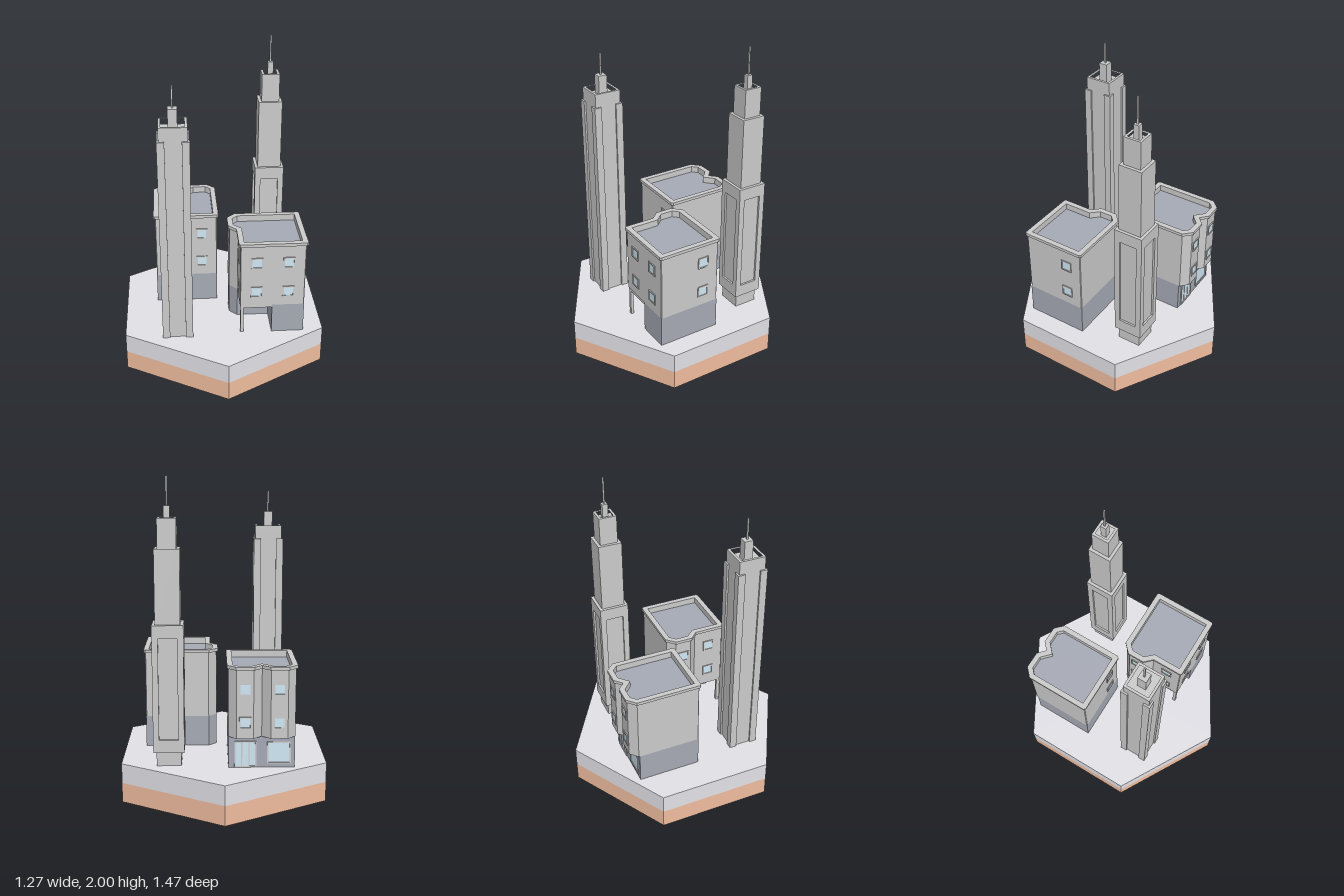
import * as THREE from 'three';

const paint = (color) => new THREE.MeshStandardMaterial({ color, flatShading: true });
const GREY = paint(0xcccccc), STONE = paint(0xa6aab5), GLASS = paint(0xd0e8f5);
const PAVING = paint(0xe2e1e7), EARTH = paint(0xf0bd9f);

const GROUND = 0.25, FLOOR1 = 0.45, ROOF = 0.85, CORNICE = 0.875, TOP = 0.895;

function add(parent, name, geometry, material = GREY) {
  const mesh = new THREE.Mesh(geometry, material);
  mesh.name = name;
  parent.add(mesh);
  return mesh;
}

// Square block centred on the parent's axis
function block(parent, name, half, y0, y1, material) {
  const g = new THREE.BoxGeometry(half * 2, y1 - y0, half * 2);
  return add(parent, name, g.translate(0, (y0 + y1) / 2, 0), material);
}

// Upright prism over a plan of [x, z] points, optionally hollow
function prism(parent, name, plan, y0, y1, material, hole) {
  const points = (p) => p.map(([x, z]) => new THREE.Vector2(x, -z));
  const shape = new THREE.Shape(points(plan));
  if (hole) shape.holes.push(new THREE.Path(points(hole)));
  const g = new THREE.ExtrudeGeometry(shape, { depth: y1 - y0, bevelEnabled: false });
  return add(parent, name, g.rotateX(-Math.PI / 2).translate(0, y0, 0), material);
}

const square = (h) => [[-h, -h], [h, -h], [h, h], [-h, h]];

// Move every edge of a plan inwards by d
function inset(plan, d) {
  const n = plan.length;
  let area = 0;
  plan.forEach(([x, z], i) => {
    const [u, v] = plan[(i + 1) % n];
    area += x * v - u * z;
  });
  const s = Math.sign(area);
  const normal = ([x, z], [u, v]) => {
    const l = Math.hypot(u - x, v - z);
    return [-s * (v - z) / l, s * (u - x) / l];
  };
  return plan.map((p, i) => {
    const a = normal(plan[(i + n - 1) % n], p), b = normal(p, plan[(i + 1) % n]);
    const k = d / (1 + a[0] * b[0] + a[1] * b[1]);
    return [p[0] + (a[0] + b[0]) * k, p[1] + (a[1] + b[1]) * k];
  });
}

// Rectangular frame facing +z with a rectangular opening
function frame(w, h, border, depth) {
  const rect = (T, a, b) => new T([[-a, -b], [a, -b], [a, b], [-a, b]].map((p) => new THREE.Vector2(...p)));
  const shape = rect(THREE.Shape, w / 2, h / 2);
  shape.holes.push(rect(THREE.Path, w / 2 - border, h / 2 - border));
  return new THREE.ExtrudeGeometry(shape, { depth, bevelEnabled: false });
}

// Glazed opening; turn 0 faces +z
function glazing(parent, name, x, y, z, turn, w = 0.074, h = 0.074, panes = 1) {
  const unit = new THREE.Group();
  unit.name = name;
  unit.position.set(x, y, z);
  unit.rotation.y = turn;
  add(unit, 'windowFrame', frame(w, h, 0.008, 0.006));
  add(unit, 'windowGlass', new THREE.BoxGeometry(w - 0.01, h - 0.01, 0.004), GLASS);
  for (let i = 1; i < panes; i++) {
    const bar = add(unit, 'mullion', new THREE.BoxGeometry(0.007, h, 0.01));
    bar.position.x = -w / 2 + (w * i) / panes;
  }
  parent.add(unit);
}

// Upper storeys with sunken roof and cornice
function house(name, outline, lowerPlan) {
  const g = new THREE.Group();
  g.name = name;
  const wall = inset(outline, 0.01), inner = inset(outline, 0.034);
  prism(g, 'groundFloor', lowerPlan, GROUND, FLOOR1, STONE);
  prism(g, 'upperWalls', wall, FLOOR1, ROOF);
  prism(g, 'parapet', wall, ROOF, CORNICE, GREY, inner);
  prism(g, 'cornice', outline, CORNICE, TOP, GREY, inner);
  prism(g, 'roof', inner, ROOF, ROOF + 0.003, STONE);
  return g;
}

function bayHouse() {
  const outline = [
    [-0.43, -0.022], [-0.025, -0.022], [-0.015, -0.032], [-0.015, -0.448], [-0.068, -0.5], [-0.178, -0.5],
    [-0.226, -0.455], [-0.274, -0.5], [-0.385, -0.5], [-0.44, -0.448], [-0.44, -0.032],
  ];
  const lower = [[-0.43, -0.032], [-0.025, -0.032], [-0.025, -0.437], [-0.43, -0.437]];
  const g = house('twoBayHouse', outline, lower);
  for (const y of [0.55, 0.757]) {
    glazing(g, 'rearWindow', -0.125, y, -0.032, 0);
    for (const x of [-0.125, -0.33]) glazing(g, 'bayWindow', x, y, -0.49, Math.PI);
  }
  // Street-level shopfronts under the bays
  glazing(g, 'shopDoors', -0.128, 0.335, -0.437, Math.PI, 0.135, 0.165, 3);
  glazing(g, 'shopWindow', -0.333, 0.345, -0.437, Math.PI, 0.145, 0.14, 1);
  return g;
}

function cornerHouse() {
  const outline = [
    [0.095, 0.39], [0.505, 0.39], [0.515, 0.38], [0.515, -0.027], [0.505, -0.037], [0.092, -0.037],
    [0.036, 0.017], [0.036, 0.13], [0.086, 0.182], [0.086, 0.38],
  ];
  // Ground floor leaves an open porch under the front right corner
  const lower = [
    [0.3, 0.38], [0.505, 0.38], [0.505, -0.027], [0.096, -0.027],
    [0.046, 0.021], [0.046, 0.126], [0.096, 0.178], [0.3, 0.178],
  ];
  const g = house('cornerHouse', outline, lower);
  for (const y of [0.55, 0.757]) {
    for (const x of [0.2, 0.4]) glazing(g, 'frontWindow', x, y, 0.38, 0);
    glazing(g, 'sideWindow', 0.505, y, 0.08, Math.PI / 2);
    glazing(g, 'bayWindow', 0.046, y, 0.074, -Math.PI / 2);
    glazing(g, 'sideWindow', 0.096, y, 0.28, -Math.PI / 2);
  }
  // Porch post and beams
  add(g, 'porchPost', new THREE.BoxGeometry(0.02, 0.2, 0.02).translate(0.11, 0.35, 0.366));
  add(g, 'porchBeam', new THREE.BoxGeometry(0.2, 0.02, 0.02).translate(0.2, 0.44, 0.366));
  add(g, 'porchBeam', new THREE.BoxGeometry(0.02, 0.02, 0.2).translate(0.11, 0.44, 0.276));
  return g;
}

// Tall shaft with raised corner strips
function pillarTower() {
  const g = new THREE.Group();
  g.name = 'pillarTower';
  block(g, 'shaft', 0.085, GROUND, 1.63);
  prism(g, 'shaftParapet', square(0.085), 1.63, 1.67, GREY, square(0.069));
  for (const sx of [-1, 1]) for (const sz of [-1, 1]) {
    block(g, 'cornerStrip', 0.023, GROUND, 1.585).position.set(sx * 0.073, 0, sz * 0.073);
  }
  block(g, 'lantern', 0.028, 1.63, 1.76);
  block(g, 'spire', 0.005, 1.76, 1.895);
  g.position.set(-0.3, 0, 0.316);
  return g;
}

// Stepped tower with sunken panels on its lower stage
function steppedTower() {
  const g = new THREE.Group();
  g.name = 'steppedTower';
  block(g, 'foot', 0.076, GROUND, 0.34);
  block(g, 'lowerStage', 0.083, 0.34, 1.13);
  for (let i = 0; i < 4; i++) {
    const side = add(g, 'panelSurround', frame(0.19, 0.79, 0.037, 0.012));
    side.geometry.translate(0, 0, 0.083);
    // Wider rails above and below each panel
    const rail = new THREE.BoxGeometry(0.19, 0.08, 0.012);
    const top = add(g, 'panelRail', rail.clone().translate(0, 1.09, 0.089));
    const bottom = add(g, 'panelRail', rail.clone().translate(0, 0.38, 0.089));
    side.position.y = 0.735;
    for (const m of [side, top, bottom]) m.rotation.y = (i * Math.PI) / 2;
  }
  block(g, 'middleStage', 0.076, 1.13, 1.58);
  block(g, 'upperStage', 0.057, 1.58, 1.73);
  prism(g, 'upperParapet', square(0.057), 1.73, 1.76, GREY, square(0.041));
  block(g, 'lantern', 0.018, 1.73, 1.83);
  block(g, 'spire', 0.005, 1.83, 2);
  g.position.set(0.338, 0, -0.328);
  return g;
}

export function createModel() {
  const model = new THREE.Group();
  model.name = 'cityTile';
  // Hexagonal ground tile in two layers
  const layer = (y) => new THREE.CylinderGeometry(0.733, 0.733, 0.125, 6).translate(0, y, 0);
  add(model, 'earthLayer', layer(0.0625), EARTH);
  add(model, 'pavingLayer', layer(0.1875), PAVING);
  model.add(bayHouse(), cornerHouse(), pillarTower(), steppedTower());
  return model;
}
